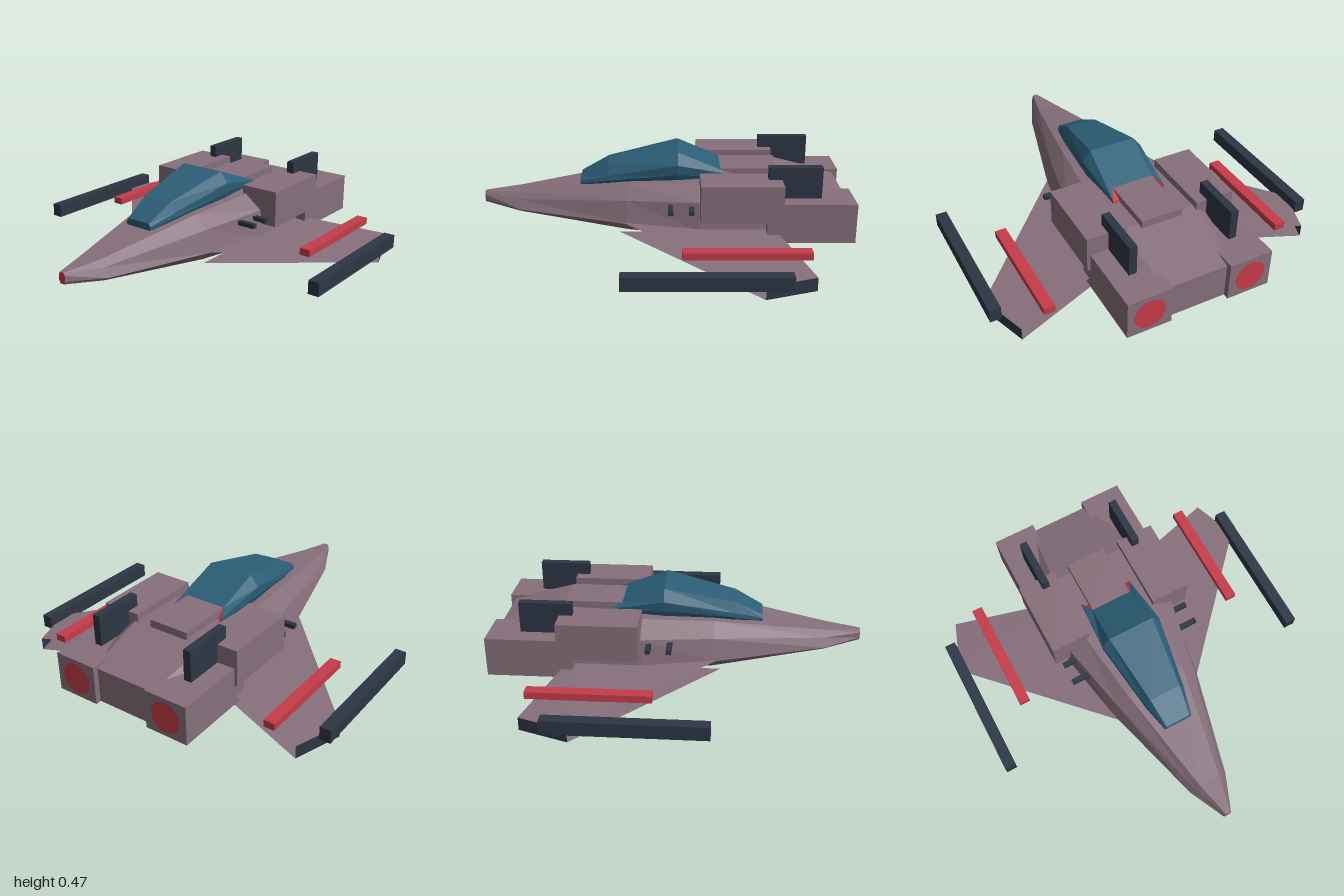
import * as THREE from 'three';

const mat = (color) => new THREE.MeshStandardMaterial({ color, flatShading: true, side: THREE.DoubleSide });

// Mirrors a half outline (bottom to top, +x side) into a closed ring at depth z;
// a point may carry its own depth as a third value.
function ring(z, half) {
  const right = half.map(([x, y, pz = z]) => [x, y, pz]);
  const left = [...right].reverse().map(([x, y, pz]) => [-x, y, pz]);
  return [...right, ...left];
}

function geometryFrom(points) {
  const geo = new THREE.BufferGeometry();
  geo.setAttribute('position', new THREE.Float32BufferAttribute(points.flat(), 3));
  geo.computeVertexNormals();
  return geo;
}

// Skin over rings ordered from front to back
function loft(rings) {
  const pts = [];
  for (let i = 0; i < rings.length - 1; i++) {
    const f = rings[i], b = rings[i + 1], n = f.length;
    for (let j = 0; j < n; j++) {
      const k = (j + 1) % n;
      pts.push(f[j], b[j], f[k], f[k], b[j], b[k]);
    }
  }
  return geometryFrom(pts);
}

// Flat convex face, counter-clockwise from its front
function face(r) {
  const pts = [];
  for (let j = 1; j < r.length - 1; j++) pts.push(r[0], r[j], r[j + 1]);
  return geometryFrom(pts);
}

export function createModel() {
  const model = new THREE.Group();
  model.name = 'starfighter';
  const hull = mat(0x866f7b), dark = mat(0x2d3645), glass = mat(0x2c5f78), red = mat(0xc63c4a);

  const add = (name, geo, material) => {
    const mesh = new THREE.Mesh(geo, material);
    mesh.name = name;
    model.add(mesh);
    return mesh;
  };
  // Box given by its limits on each axis
  const box = (name, [x0, x1], [y0, y1], [z0, z1], material) =>
    add(name, new THREE.BoxGeometry(Math.abs(x1 - x0), y1 - y0, z1 - z0), material)
      .position.set((x0 + x1) / 2, (y0 + y1) / 2, (z0 + z1) / 2);

  // Fuselage with a red nose tip
  const body = [
    ring(1, [[0.012, 0.14], [0.02, 0.155], [0.02, 0.185], [0.012, 0.2]]),
    ring(0.8, [[0.08, 0.11], [0.11, 0.13], [0.085, 0.18], [0.06, 0.215]]),
    ring(0.2, [[0.22, 0.06], [0.27, 0.11], [0.24, 0.23], [0.17, 0.3]]),
    ring(-0.18, [[0.28, 0.045], [0.34, 0.1], [0.32, 0.25], [0.22, 0.325]]),
    ring(-0.58, [[0.28, 0.045], [0.34, 0.1], [0.32, 0.25], [0.22, 0.335]]),
    ring(-0.96, [[0.2, 0.06], [0.24, 0.1], [0.24, 0.22], [0.18, 0.25]]),
  ];
  add('fuselage', loft(body), hull);
  add('noseTip', face(body[0]), red);
  add('sternPlate', face([...body[5]].reverse()), hull);

  // Canopy with a red rear face
  const canopy = [
    ring(0.46, [[0.055, 0.25], [0.08, 0.268], [0.08, 0.285], [0.07, 0.3]]),
    ring(0.31, [[0.1, 0.265], [0.118, 0.3], [0.115, 0.325], [0.088, 0.38]]),
    ring(-0.07, [[0.15, 0.3], [0.17, 0.35], [0.175, 0.405], [0.13, 0.465]]),
    ring(-0.37, [[0.14, 0.315, -0.38], [0.15, 0.33, -0.375], [0.15, 0.345], [0.118, 0.37, -0.3]]),
  ];
  add('canopy', loft(canopy), glass);
  add('canopyFront', face(canopy[0]), glass);
  add('canopyRear', face([...canopy[3]].reverse()), red);

  box('spineBlock', [-0.115, 0.115], [0.28, 0.37], [-0.61, -0.3], hull);

  // Paired parts
  for (const s of [1, -1]) {
    const side = s > 0 ? 'left' : 'right';
    const pair = (name, x, y, z, material) => box(side + name, [s * x[0], s * x[1]], y, z, material);

    // Wing: an upper and a lower sheet joined by a dark tip
    const plan = [[0.25, 0.24], [0.91, -0.47], [0.82, -0.725], [0.25, -0.55]];
    const sheet = (yRoot, yTip) => plan.map(([x, z]) =>
      [s * x, THREE.MathUtils.mapLinear(Math.min(x, 0.82), 0.25, 0.82, yRoot, yTip), z]);
    const top = sheet(0.117, 0.07), bottom = sheet(0.057, 0);
    add(side + 'WingTop', face(s > 0 ? top : [...top].reverse()), hull);
    add(side + 'WingBottom', face(s > 0 ? [...bottom].reverse() : bottom), hull);
    const tip = [bottom[1], bottom[2], top[2], top[1]];
    add(side + 'WingTip', face(s > 0 ? tip : tip.reverse()), dark);

    // Guns and wing bars
    pair('WingGun', [0.87, 0.93], [0.052, 0.125], [-0.6, 0.21], dark);
    pair('WingBar', [0.64, 0.7], [0.102, 0.14], [-0.72, -0.085], red);

    // Nacelle, engine and fin
    pair('Nacelle', [0.2, 0.417], [0.173, 0.372], [-0.61, -0.185], hull);
    pair('Engine', [0.16, 0.4], [0.058, 0.27], [-0.99, -0.53], hull);
    pair('Fin', [0.26, 0.302], [0.25, 0.438], [-0.82, -0.54], dark);
    const exhaust = add(side + 'Exhaust', new THREE.CircleGeometry(0.085, 24), red);
    exhaust.rotation.y = Math.PI;
    exhaust.position.set(s * 0.28, 0.164, -0.992);

    // Small side thrusters
    for (const z of [-0.14, -0.03])
      pair('Thruster', [0.25, 0.39], [0.205, 0.229], [z - 0.014, z + 0.014], dark);
  }
  return model;
}
